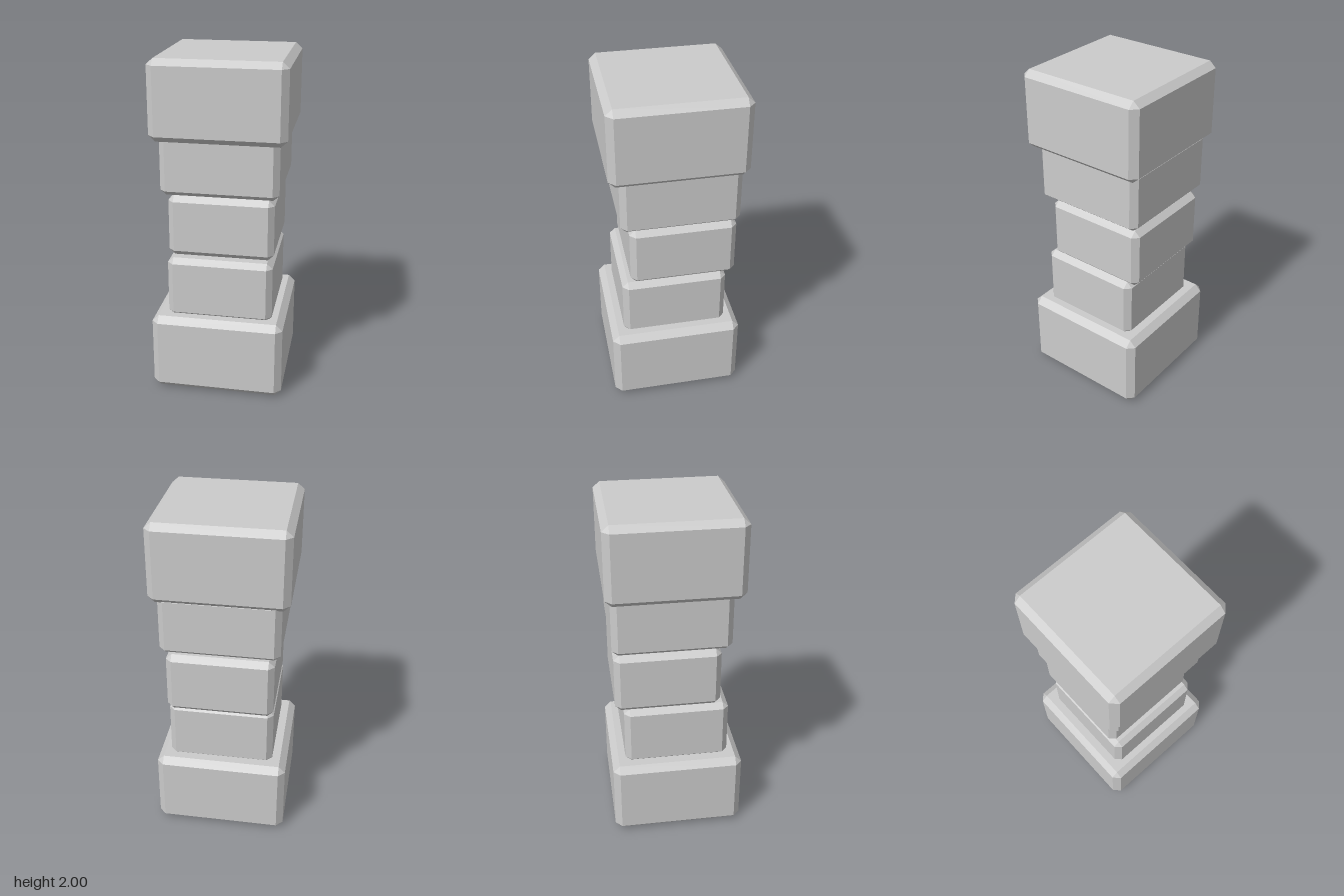
import * as THREE from 'three';
import { ConvexGeometry } from 'three/addons/geometries/ConvexGeometry.js';

// Box with flat-chamfered edges and triangular corners
function chamferedBlock(half, height, c, cy) {
  const points = [], hy = height / 2;
  for (const sx of [-1, 1]) for (const sy of [-1, 1]) for (const sz of [-1, 1]) {
    points.push(
      new THREE.Vector3(sx * half, sy * (hy - cy), sz * (half - c)),
      new THREE.Vector3(sx * (half - c), sy * hy, sz * (half - c)),
      new THREE.Vector3(sx * (half - c), sy * (hy - cy), sz * half)
    );
  }
  return new ConvexGeometry(points);
}

export function createModel() {
  const group = new THREE.Group();
  group.name = 'blockPillar';
  const material = new THREE.MeshStandardMaterial({ color: 0xcccccc, flatShading: true });

  // Stacked blocks, bottom to top, each slightly off centre
  const blocks = [
    { name: 'baseBlock', half: 0.391, y0: 0, y1: 0.475, x: -0.003, z: 0.005, c: 0.039, cy: 0.038 },
    { name: 'lowerBlock', half: 0.311, y0: 0.455, y1: 0.827, x: 0.003, z: 0.003, c: 0.034, cy: 0.031 },
    { name: 'middleBlock', half: 0.311, y0: 0.828, y1: 1.197, x: -0.024, z: -0.04, c: 0.034, cy: 0.033 },
    { name: 'upperBlock', half: 0.342, y0: 1.216, y1: 1.575, x: -0.013, z: -0.021, c: 0.035, cy: 0.029 },
    { name: 'topBlock', half: 0.387, y0: 1.541, y1: 2, x: -0.005, z: -0.008, c: 0.039, cy: 0.035 },
  ];
  for (const b of blocks) {
    const mesh = new THREE.Mesh(chamferedBlock(b.half, b.y1 - b.y0, b.c, b.cy), material);
    mesh.name = b.name;
    mesh.position.set(b.x, (b.y0 + b.y1) / 2, b.z);
    mesh.rotation.y = THREE.MathUtils.degToRad(31);
    group.add(mesh);
  }
  return group;
}
